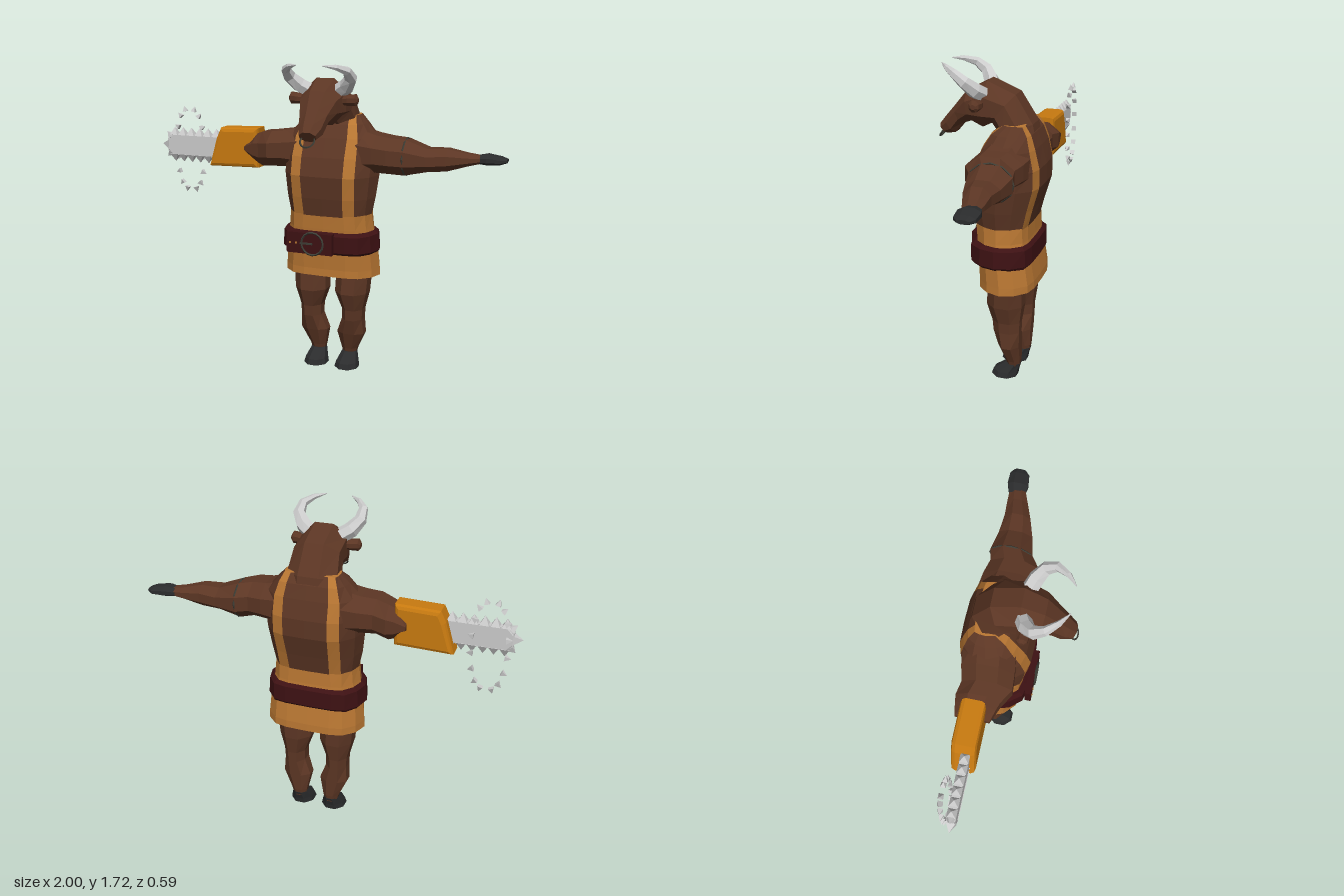
import * as THREE from 'three';

const mat = (color, side = THREE.FrontSide) =>
  new THREE.MeshStandardMaterial({ color, flatShading: true, side });
const HIDE = mat(0x5c3624), CLOTH = mat(0xb87632, THREE.DoubleSide), LEATHER = mat(0x3d1113);
const HOOF = mat(0x2b2c2d), STEEL = mat(0xcccccc), CASING = mat(0xc87a10), IRON = mat(0x3c3c34);
const CENTRE = 0.072; // the body stands a little to its left of the origin

function add(parent, name, geometry, material, x = 0, y = 0, z = 0) {
  const mesh = new THREE.Mesh(geometry, material);
  mesh.name = name;
  mesh.position.set(x, y, z);
  parent.add(mesh);
  return mesh;
}

// Skin a list of rings; cols picks strips, caps closes both ends
function loft(rings, { cols = null, caps = true } = {}) {
  const pos = [], n = rings[0].length;
  const tri = (a, b, c) => pos.push(...a, ...b, ...c);
  const strips = cols || [...Array(n).keys()];
  for (let i = 0; i < rings.length - 1; i++) {
    for (const j of strips) {
      const k = (j + 1) % n, lo = rings[i], hi = rings[i + 1];
      tri(lo[j], lo[k], hi[k]);
      tri(lo[j], hi[k], hi[j]);
    }
  }
  if (caps) {
    const mid = r => [0, 1, 2].map(a => r.reduce((s, p) => s + p[a], 0) / n);
    const first = rings[0], last = rings[rings.length - 1];
    for (let j = 0; j < n; j++) {
      const k = (j + 1) % n;
      tri(mid(first), first[k], first[j]);
      tri(mid(last), last[j], last[k]);
    }
  }
  const g = new THREE.BufferGeometry();
  g.setAttribute('position', new THREE.Float32BufferAttribute(pos, 3));
  g.computeVertexNormals();
  return g;
}
const mirror = rings => rings.map(r => r.map(([x, y, z]) => [-x, y, z]).reverse());

// n-gon with flat sides facing the axes, as [sin, cos] pairs
const polygon = n => Array.from({ length: n }, (_, i) => {
  const a = (i + 0.5) * 2 * Math.PI / n, k = 1 / Math.cos(Math.PI / n);
  return [Math.sin(a) * k, Math.cos(a) * k];
});

// Rings across the three directions a part can run in
const upright = ([y, x, w, f, b]) =>
  polygon(8).map(([s, c]) => [x + s * w, y, (f + b) / 2 + c * (f - b) / 2]);
const sideways = ([x, top, bot, f, b]) =>
  polygon(8).map(([s, c]) => [x - CENTRE, (top + bot) / 2 + c * (top - bot) / 2, (f + b) / 2 + s * (f - b) / 2]);
const alongNeck = ([tz, ty, bz, by, w]) =>
  polygon(8).map(([s, c]) => [s * w, (ty + by) / 2 + c * (by - ty) / 2, (tz + bz) / 2 + c * (bz - tz) / 2]);

// Torso ring: height, half width, front, back, strap inner and outer edge
function torsoRing([y, w, f, b, s1, s2]) {
  const d = f - b, q = s2 + (w - s2) * 0.7;
  const half = [[0, f], [s1, f - d * 0.01], [s2, f - d * 0.06], [q, f - d * 0.25], [w, f - d * 0.5],
    [q, b + d * 0.25], [s2, b + d * 0.06], [s1, b + d * 0.01], [0, b]];
  const other = half.slice(1, 8).reverse().map(([x, z]) => [-x, z]);
  return [...half, ...other].map(([x, z]) => [x, y, z]);
}

function buildTorso(body) {
  const rings = [
    [0.88, 0.225, 0.045, -0.225, 0.11, 0.17], [1.0, 0.25, 0.07, -0.255, 0.115, 0.175],
    [1.12, 0.265, 0.085, -0.29, 0.12, 0.18], [1.22, 0.27, 0.06, -0.29, 0.12, 0.18],
    [1.32, 0.255, 0.015, -0.265, 0.12, 0.175], [1.39, 0.19, -0.03, -0.24, 0.11, 0.155],
    [1.435, 0.145, -0.09, -0.205, 0.1, 0.135],
  ].map(torsoRing);
  const straps = [1, 6, 9, 14];
  add(body, 'torso', loft(rings, { cols: [...Array(16).keys()].filter(j => !straps.includes(j)), caps: false }), HIDE);
  add(body, 'shoulderStraps', loft(rings, { cols: straps, caps: false }), CLOTH);
  add(body, 'shoulderTop', loft([rings[6], rings[6].map(([x, y, z]) => [x * 0.5, y + 0.005, z])]), CLOTH);

  // Kilt, open below
  const kilt = [
    [0.56, 0.275, 0.03, -0.272, 0.12, 0.19], [0.6, 0.272, 0.028, -0.27, 0.12, 0.19],
    [0.72, 0.262, 0.035, -0.25, 0.12, 0.185], [0.83, 0.24, 0.045, -0.235, 0.12, 0.175],
    [0.91, 0.23, 0.05, -0.23, 0.115, 0.175],
  ].map(torsoRing);
  add(body, 'kilt', loft(kilt, { caps: false }), CLOTH);

  const belt = [
    [0.695, 0.262, 0.055, -0.25, 0.13, 0.2], [0.71, 0.277, 0.075, -0.262, 0.13, 0.2],
    [0.8, 0.268, 0.075, -0.258, 0.13, 0.2], [0.815, 0.25, 0.055, -0.24, 0.13, 0.19],
  ].map(torsoRing);
  add(body, 'belt', loft(belt), LEATHER);
  add(body, 'beltFlap', new THREE.BoxGeometry(0.26, 0.115, 0.035), LEATHER, -0.06, 0.757, 0.082);
  add(body, 'buckle', new THREE.TorusGeometry(0.062, 0.006, 4, 16), IRON, -0.042, 0.757, 0.102);
  add(body, 'buckleTongue', new THREE.BoxGeometry(0.07, 0.009, 0.01), IRON, -0.075, 0.757, 0.104);
  for (const x of [-0.17, -0.135])
    add(body, 'beltStud', new THREE.BoxGeometry(0.01, 0.01, 0.01), CLOTH, x, 0.757, 0.1);
}

function buildHead(body) {
  // Top z,y then underside z,y then half width, from neck to nose
  add(body, 'neckAndHead', loft([
    [-0.25, 1.34, -0.02, 1.34, 0.14], [-0.228, 1.43, -0.035, 1.39, 0.135],
    [-0.135, 1.575, -0.01, 1.42, 0.122], [0.015, 1.635, 0.04, 1.395, 0.12],
    [0.13, 1.575, 0.105, 1.42, 0.1], [0.2, 1.49, 0.155, 1.4, 0.075],
    [0.255, 1.425, 0.2, 1.345, 0.062], [0.287, 1.385, 0.25, 1.335, 0.045],
  ].map(alongNeck)), HIDE);
  const ring = add(body, 'noseRing', new THREE.TorusGeometry(0.038, 0.005, 4, 14), IRON, 0, 1.342, 0.272);
  ring.rotation.x = -0.65;

  // Horns: x, y, z, radius
  const path = [[0.08, 1.57, 0.03, 0.036], [0.13, 1.6, 0.055, 0.036], [0.168, 1.645, 0.095, 0.029],
    [0.165, 1.685, 0.15, 0.021], [0.125, 1.705, 0.205, 0.013], [0.07, 1.715, 0.25, 0.002]];
  const points = path.map(p => new THREE.Vector3(p[0], p[1], p[2]));
  const horn = points.map((p, i) => {
    const t = points[Math.min(i + 1, 5)].clone().sub(points[Math.max(i - 1, 0)]).normalize();
    const u = new THREE.Vector3(0, 1, -0.7).cross(t).normalize(), v = t.clone().cross(u);
    return polygon(6).map(([s, c]) =>
      p.clone().addScaledVector(u, c * path[i][3]).addScaledVector(v, s * path[i][3]).toArray());
  });
  const ear = [[0.16, 1.545, 1.505, 0.06, 0.02], [0.21, 1.555, 1.5, 0.075, 0.01],
    [0.25, 1.56, 1.5, 0.07, 0.015], [0.262, 1.54, 1.515, 0.055, 0.03]].map(sideways);
  for (const [side, f] of [['left', r => r], ['right', mirror]]) {
    add(body, side + 'Horn', loft(f(horn)), STEEL);
    add(body, side + 'Ear', loft(f(ear)), HIDE);
  }
}

function buildLimbs(body) {
  const shoulder = [[0.2, 1.37, 1.11, 0.01, -0.26], [0.33, 1.34, 1.14, 0.025, -0.245],
    [0.41, 1.33, 1.14, 0.03, -0.225], [0.48, 1.32, 1.13, -0.015, -0.24]];
  add(body, 'leftArm', loft([...shoulder, [0.6, 1.277, 1.155, -0.04, -0.22], [0.7, 1.28, 1.162, -0.07, -0.21],
    [0.8, 1.257, 1.19, -0.105, -0.215], [0.87, 1.247, 1.207, -0.13, -0.215]].map(sideways)), HIDE);
  add(body, 'leftHand', loft([[0.84, 1.245, 1.205, -0.135, -0.215], [0.9, 1.257, 1.2, -0.122, -0.235],
    [0.97, 1.245, 1.205, -0.13, -0.235], [1.0, 1.235, 1.215, -0.155, -0.215]].map(sideways)), HOOF);
  const band = add(body, 'armBand', new THREE.TorusGeometry(0.105, 0.005, 4, 12).rotateY(Math.PI / 2), IRON,
    0.482 - CENTRE, 1.225, -0.128);
  band.scale.set(1, 0.95, 1.1);
  add(body, 'rightArmStump', loft(mirror([...shoulder, [0.52, 1.305, 1.145, -0.03, -0.235],
    [0.58, 1.25, 1.2, -0.05, -0.225]].map(sideways))), HIDE);

  // Legs: height, centre x, half width, front, back
  const leg = [[0.06, 0.093, 0.035, -0.12, -0.185], [0.1, 0.095, 0.045, -0.11, -0.19],
    [0.2, 0.108, 0.078, -0.075, -0.192], [0.29, 0.122, 0.058, -0.05, -0.195], [0.35, 0.123, 0.06, -0.045, -0.197],
    [0.45, 0.118, 0.09, -0.015, -0.21], [0.56, 0.125, 0.092, -0.025, -0.21], [0.72, 0.125, 0.09, -0.02, -0.2]].map(upright);
  const hoof = [[0, 0.093, 0.065, -0.03, -0.17], [0.03, 0.093, 0.058, -0.04, -0.175],
    [0.08, 0.093, 0.04, -0.108, -0.19]].map(upright);
  for (const [side, f] of [['left', r => r], ['right', mirror]]) {
    add(body, side + 'Leg', loft(f(leg)), HIDE);
    add(body, side + 'Hoof', loft(f(hoof)), HOOF);
  }
}

function extrude(points, depth, bevel) {
  const shape = new THREE.Shape(points.map(([x, y]) => new THREE.Vector2(x, y)));
  return new THREE.ExtrudeGeometry(shape, { depth: depth - 2 * bevel, bevelEnabled: bevel > 0,
    bevelSize: bevel, bevelOffset: -bevel, bevelThickness: bevel, bevelSegments: 2 }).translate(0, 0, bevel - depth / 2);
}

function buildSaw(saw) {
  add(saw, 'sawCasing', extrude([[-0.675, 1.105], [-0.368, 1.112], [-0.368, 1.335], [-0.6, 1.328], [-0.628, 1.27]],
    0.125, 0.022), CASING, 0, 0, -0.138);
  add(saw, 'sawBlade', extrude([[-0.6, 1.15], [-0.6, 1.272], [-0.92, 1.272], [-0.955, 1.245], [-0.955, 1.175], [-0.92, 1.15]],
    0.04, 0), STEEL, 0, 0, -0.125);

  // Four-sided tooth pointing outward at an angle in the blade plane
  const tooth = (name, x, y, z, angle, r, h) => {
    const cone = new THREE.ConeGeometry(r, h, 4).rotateY(Math.PI / 4);
    add(saw, name, cone, STEEL, x, y, z).rotation.z = angle - Math.PI / 2;
  };
  for (let i = 0; i < 6; i++) {
    const x = -0.645 - i * 0.054;
    tooth('bladeTooth', x, 1.29, -0.125, Math.PI / 2, 0.034, 0.045);
    tooth('bladeTooth', x, 1.132, -0.125, -Math.PI / 2, 0.034, 0.045);
  }
  tooth('bladeTooth', -0.95, 1.268, -0.125, 2.4, 0.032, 0.045);
  tooth('bladeTooth', -0.95, 1.152, -0.125, -2.4, 0.032, 0.045);
  tooth('bladeTip', -0.976, 1.21, -0.125, Math.PI, 0.034, 0.048);

  // Oval of loose chain teeth behind the blade
  for (let i = 0; i < 16; i++) {
    const a = i / 16 * 2 * Math.PI + 0.2, c = Math.cos(a), s = Math.sin(a);
    const x = -0.845 + Math.sign(c) * Math.abs(c) ** 0.7 * 0.097;
    tooth('chainTooth', x, 1.175 + s * 0.243, -0.178, Math.atan2(s * 0.1, c * 0.24 * 0.6), 0.019, 0.032);
  }
}

export function createModel() {
  const model = new THREE.Group();
  model.name = 'hornedWarrior';
  const body = new THREE.Group(), saw = new THREE.Group();
  body.name = 'body';
  body.position.x = CENTRE;
  saw.name = 'chainSaw';
  model.add(body, saw);
  buildTorso(body);
  buildHead(body);
  buildLimbs(body);
  buildSaw(saw);
  return model;
}
